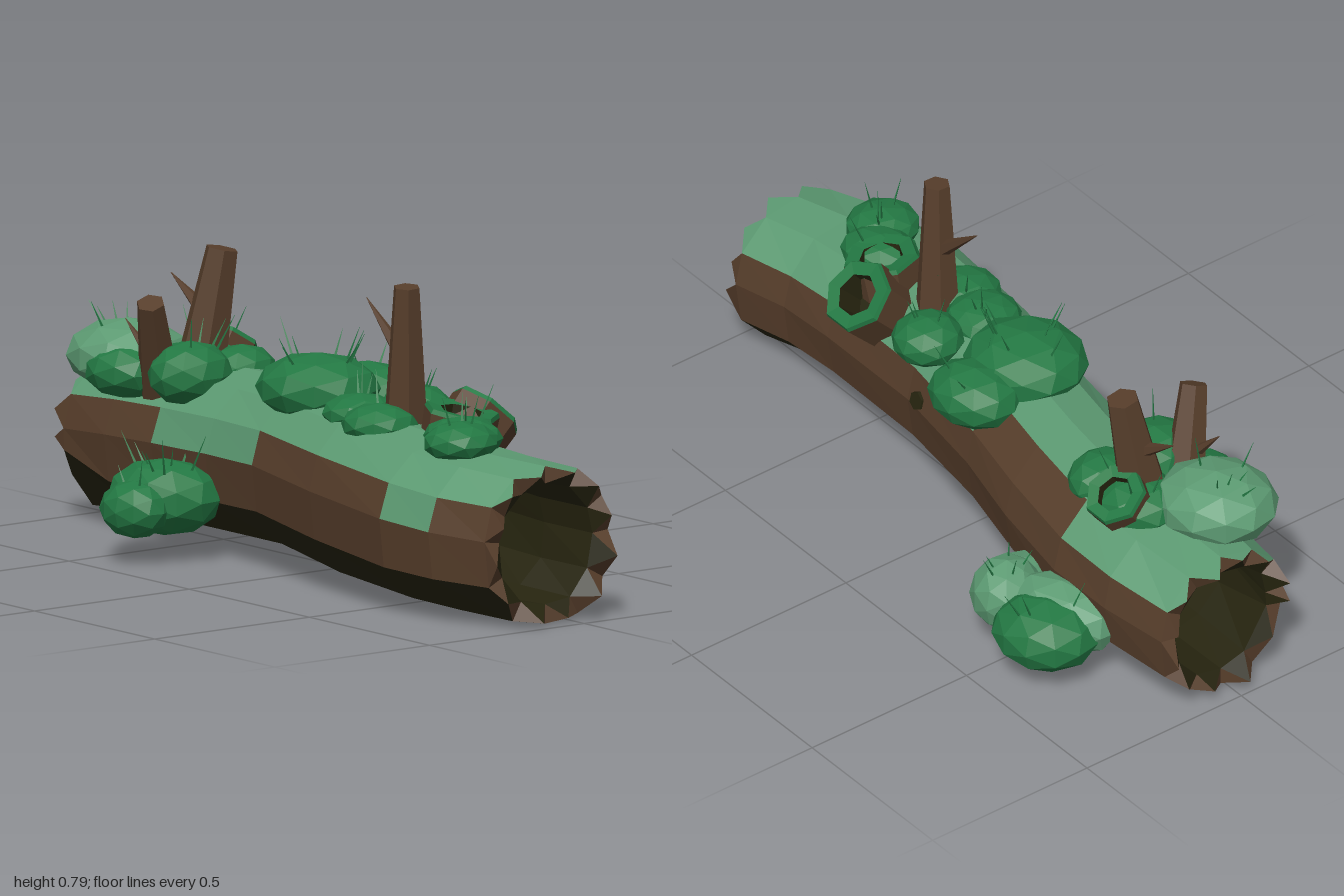
import * as THREE from 'three';

export function createModel() {
  const root = new THREE.Group();
  root.name = 'mossyHollowLog';
  const mat = (name, color) => {
    const m = new THREE.MeshStandardMaterial({ color, flatShading: true });
    m.name = name;
    return m;
  };
  const moss = mat('lightMoss', 0x5c9a72);
  const leaf = mat('darkLeaf', 0x237843);
  const bark = mat('bark', 0x573e2b);
  const dark = mat('darkWood', 0x26240f);

  let seed = 7;
  const rnd = () => (seed = (seed * 16807) % 2147483647) / 2147483647;
  const V = (x, y, z) => new THREE.Vector3(x, y, z);
  const add = (name, geo, m, parent = root) => {
    const mesh = new THREE.Mesh(geo, m);
    mesh.name = name;
    parent.add(mesh);
    return mesh;
  };

  // Log stations: x, centre z, half width, bottom y, top y
  const stations = [
    [-0.94, -0.02, 0.195, 0.03, 0.43], [-0.75, -0.03, 0.22, 0.035, 0.45],
    [-0.55, -0.03, 0.225, 0.04, 0.46], [-0.3, 0, 0.215, 0.05, 0.47],
    [-0.07, 0.04, 0.205, 0.06, 0.475], [0.25, 0.1, 0.205, 0.04, 0.465],
    [0.6, 0.13, 0.22, 0.025, 0.45], [0.78, 0.12, 0.215, 0.02, 0.435],
    [0.94, 0.08, 0.2, 0.012, 0.425],
  ];
  // Angles from the top, positive towards the front
  const angles = [-150, -118, -85, -60, -30, 0, 30, 57, 82, 116, 150, 180];
  const n = angles.length, last = stations.length - 1;
  const ring = ([x, zc, hw, y0, y1], i, scale) => angles.map((deg) => {
    const a = THREE.MathUtils.degToRad(i === 0 && deg === 116 ? 98 : deg);
    const corner = 1 + 0.05 * Math.sin(2 * a) ** 2;
    const r = scale * corner * (0.98 + 0.04 * rnd());
    const hy = (y1 - y0) / 2;
    return V(x, Math.max(0, (y0 + y1) / 2 + Math.cos(a) * hy * r), zc + Math.sin(a) * hw * r);
  });
  const outer = stations.map((s, i) => ring(s, i, 1));
  const inner = stations.map((s, i) => ring(s, i, 0.76));

  // Moss on top, bark patches on the sides, dark wood underneath
  const skin = (i, j) => {
    if (j <= 0 || j >= 9) return dark;
    if (j <= 2) return bark;
    if (j === 3 && (i === 2 || i === 3)) return bark;
    if (j === 8) return bark;
    if (j === 7 && (i < 2 || i === 4 || i === 5 || i === 7)) return bark;
    return moss;
  };
  const tris = new Map([moss, bark, dark].map((m) => [m, []]));
  const tri = (m, a, b, c) => [a, b, c].forEach((p) => tris.get(m).push(p.x, p.y, p.z));
  const quad = (m, a, b, c, d) => { tri(m, a, b, c); tri(m, a, c, d); };
  for (let i = 0; i < last; i++) for (let j = 0; j < n; j++) {
    const k = (j + 1) % n;
    quad(skin(i, j), outer[i][j], outer[i][k], outer[i + 1][k], outer[i + 1][j]);
    quad(dark, inner[i][k], inner[i][j], inner[i + 1][j], inner[i + 1][k]);
  }
  // Splintered teeth round both ends
  for (const [i, dir] of [[0, -1], [last, 1]]) for (let j = 0; j < n; j++) {
    const k = (j + 1) % n;
    const base = [outer[i][j], outer[i][k], inner[i][k], inner[i][j]];
    const tip = base[0].clone().add(base[1]).multiplyScalar(0.44)
      .addScaledVector(base[2], 0.06).addScaledVector(base[3], 0.06);
    tip.x = dir * (j % 3 === 1 ? 1 : 0.965 + 0.03 * rnd());
    const m = [skin(i ? last - 1 : 0, j), bark, dark, bark];
    base.forEach((p, e) => {
      const q = base[(e + 1) % 4];
      if (dir > 0) tri(m[e], p, q, tip); else tri(m[e], q, p, tip);
    });
  }
  const log = new THREE.Group();
  log.name = 'log';
  root.add(log);
  for (const [m, pos] of tris) {
    const geo = new THREE.BufferGeometry();
    geo.setAttribute('position', new THREE.Float32BufferAttribute(pos, 3));
    geo.computeVertexNormals();
    add(m.name + 'Surface', geo, m, log);
  }

  // Tapered six-sided piece between two points
  const up = V(0, 1, 0);
  const limb = (name, m, a, b, r0, r1, sides = 6) => {
    const p = V(...a), d = V(...b).sub(p);
    const mesh = add(name, new THREE.CylinderGeometry(r1, r0, d.length(), sides), m);
    mesh.position.copy(p).addScaledVector(d, 0.5);
    mesh.quaternion.setFromUnitVectors(up, d.normalize());
    return mesh;
  };
  limb('rightBranch', bark, [0.335, 0.4, 0.06], [0.365, 0.805, 0.08], 0.062, 0.035);
  limb('branchThorn', bark, [0.345, 0.61, 0.07], [0.185, 0.75, 0.07], 0.025, 0.001, 5);
  limb('leftBranch', bark, [-0.62, 0.4, -0.01], [-0.59, 0.75, -0.065], 0.072, 0.043);
  limb('branchThorn', bark, [-0.61, 0.58, -0.03], [-0.745, 0.67, -0.02], 0.025, 0.001, 5);
  limb('frontBranch', bark, [-0.62, 0.4, 0.11], [-0.54, 0.645, 0.205], 0.058, 0.037);
  limb('branchThorn', bark, [-0.6, 0.48, 0.15], [-0.69, 0.58, 0.17], 0.02, 0.001, 5);
  limb('knot', dark, [0.2, 0.29, -0.08], [0.2, 0.3, -0.118], 0.03, 0.025);

  // Bushes: x, y, z, radii, light or dark, number of grass blades
  const bushes = [
    [-0.78, 0.465, 0.09, 0.165, 0.095, 0.15, moss, 6],
    [-0.72, 0.44, 0.14, 0.12, 0.075, 0.11, leaf, 0],
    [-0.51, 0.455, 0.1, 0.105, 0.085, 0.12, leaf, 4],
    [-0.5, 0.445, -0.06, 0.085, 0.07, 0.1, leaf, 0],
    [-0.64, 0.445, -0.05, 0.12, 0.075, 0.11, leaf, 3],
    [-0.03, 0.485, 0.06, 0.165, 0.09, 0.155, leaf, 9],
    [-0.03, 0.455, -0.105, 0.13, 0.08, 0.11, leaf, 3],
    [0.23, 0.455, -0.055, 0.095, 0.065, 0.095, leaf, 3],
    [0.21, 0.46, 0.11, 0.1, 0.05, 0.1, leaf, 3],
    [0.33, 0.45, 0.14, 0.1, 0.055, 0.1, leaf, 3],
    [0.68, 0.455, 0.15, 0.095, 0.055, 0.1, leaf, 4],
    [0.6, 0.45, 0.08, 0.11, 0.055, 0.09, leaf, 2],
    [-0.38, 0.175, 0.285, 0.155, 0.1, 0.12, leaf, 8],
    [-0.37, 0.155, 0.39, 0.1, 0.075, 0.075, leaf, 2],
    [-0.45, 0.16, 0.28, 0.1, 0.09, 0.11, moss, 0],
    [-0.62, 0.155, -0.335, 0.145, 0.095, 0.13, leaf, 3],
    [-0.45, 0.175, -0.33, 0.095, 0.1, 0.1, moss, 5],
    [-0.6, 0.17, -0.27, 0.17, 0.1, 0.1, moss, 0],
    [-0.42, 0.155, -0.26, 0.085, 0.08, 0.1, moss, 0],
  ];
  for (const [x, y, z, rx, ry, rz, m, blades] of bushes) {
    const bush = add('bush', new THREE.IcosahedronGeometry(1, 1), m);
    bush.position.set(x, y, z);
    bush.scale.set(rx, ry, rz);
    bush.rotation.y = rnd() * 0.6;
    for (let b = 0; b < blades; b++) {
      const a = rnd() * Math.PI * 2, s = 0.25 + 0.35 * rnd();
      const dx = Math.cos(a) * s, dz = Math.sin(a) * s;
      const px = x + dx * rx, pz = z + dz * rz, py = y + ry * 0.72;
      limb('grassBlade', leaf, [px, py, pz],
        [px + dx * 0.08, py + 0.05 + 0.05 * rnd(), pz + dz * 0.08], 0.004, 0.0005, 3);
    }
  }

  // Hollow hexagonal stubs: bark outside, leafy rim, dark bore
  const stub = (x, y, z, r, h, tiltX, tiltZ) => {
    const g = new THREE.Group();
    g.name = 'hollowStub';
    g.position.set(x, y, z);
    g.rotation.set(tiltX, 0, tiltZ);
    root.add(g);
    const part = (name, m, pts) => add(name,
      new THREE.LatheGeometry(pts.map(([a, b]) => new THREE.Vector2(a * r, b)), 7), m, g);
    part('stubWall', bark, [[0.95, -h], [1, 0]]);
    part('stubRim', leaf, [[1, 0], [0.95, 0.012], [0.58, 0.008]]);
    part('stubBore', dark, [[0.58, 0.008], [0.5, -h * 0.6], [0, -h * 0.6]]);
  };
  stub(0.46, 0.475, -0.1, 0.1, 0.13, -0.75, 0);
  stub(0.53, 0.495, 0.03, 0.1, 0.12, -0.1, -0.15);
  stub(-0.64, 0.5, -0.125, 0.085, 0.13, -0.6, 0.1);

  return root;
}
